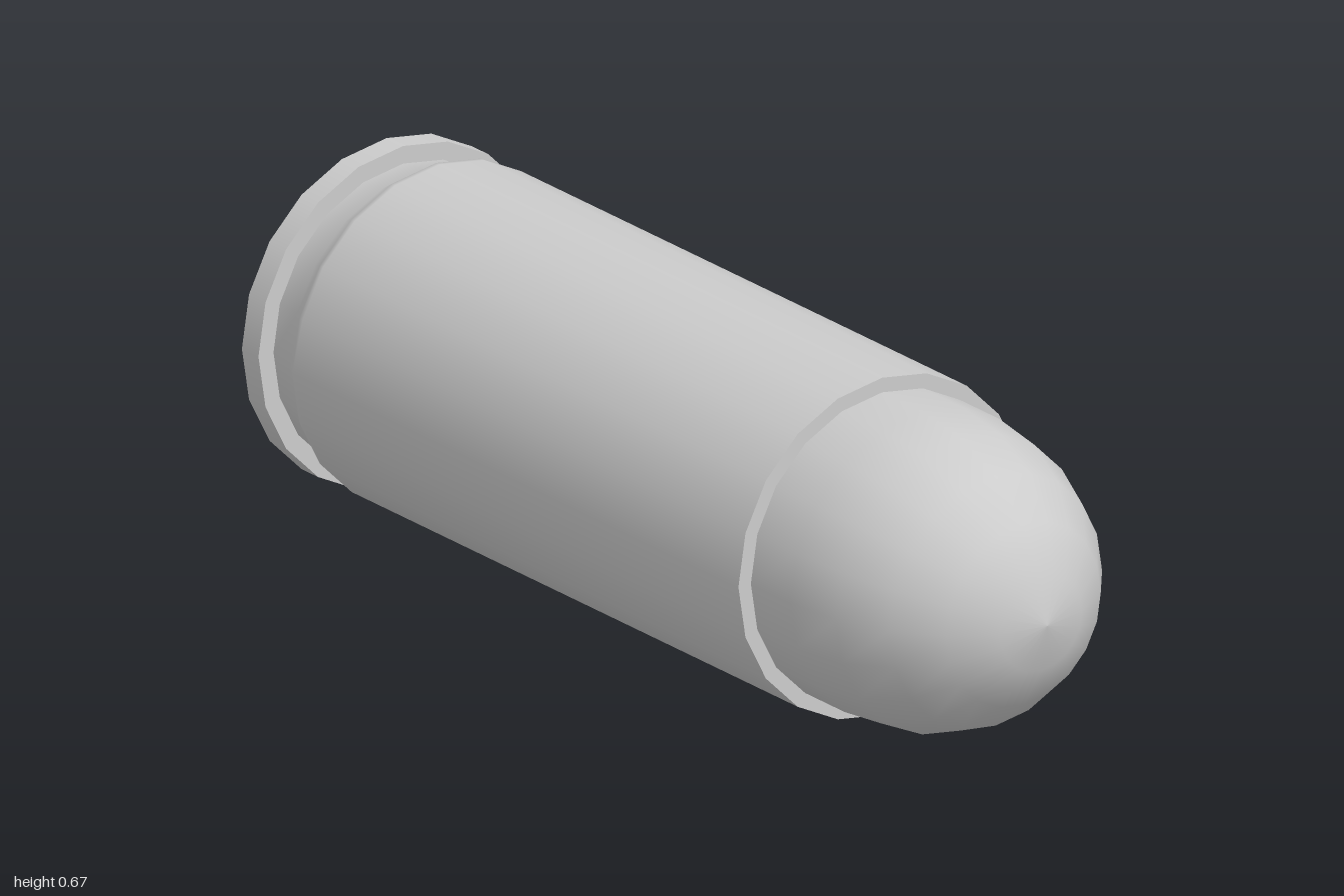
import * as THREE from 'three';

const SIDES = 20;
const RIM_R = 0.337, CASE_R = 0.335, TIP_R = 0.306, GROOVE_R = 0.305;

export function createModel() {
  const model = new THREE.Group();
  const material = new THREE.MeshStandardMaterial({ color: 0xcccccc });

  // Revolves a [radius, z] profile, listed back to front, around the z axis
  function turned(name, profile, parent) {
    const points = profile.map(([r, z]) => new THREE.Vector2(r, z));
    const geometry = new THREE.LatheGeometry(points, SIDES);
    geometry.rotateX(Math.PI / 2);
    const mesh = new THREE.Mesh(geometry, material);
    mesh.name = name;
    parent.add(mesh);
  }

  // Rim disc at the back, each face kept separate for crisp edges
  const rim = new THREE.Group();
  rim.name = 'rim';
  turned('rimBack', [[0, -1], [RIM_R, -1]], rim);
  turned('rimEdge', [[RIM_R, -1], [RIM_R, -0.95]], rim);
  turned('rimFront', [[RIM_R, -0.95], [GROOVE_R - 0.003, -0.95]], rim);

  // Straight case with the groove and bevel blending smoothly into it
  const casing = new THREE.Group();
  casing.name = 'casing';
  turned('groove', [[GROOVE_R - 0.003, -0.95], [0.309, -0.89], [CASE_R, -0.85], [CASE_R, -0.84]], casing);
  turned('caseWall', [[CASE_R, -0.84], [CASE_R, 0.5]], casing);
  turned('caseMouth', [[CASE_R, 0.5], [TIP_R, 0.5]], casing);

  // Rounded nose: short straight neck, then a quarter ellipse
  const nose = [[TIP_R, 0.5]];
  for (let i = 0; i <= 5; i++) {
    const t = (i / 5) * Math.PI / 2;
    nose.push([i === 5 ? 0 : TIP_R * Math.cos(t), 0.62 + 0.38 * Math.sin(t)]);
  }
  turned('roundedNose', nose, model);

  model.add(rim, casing);
  for (const part of model.children) part.position.y = RIM_R;
  return model;
}
